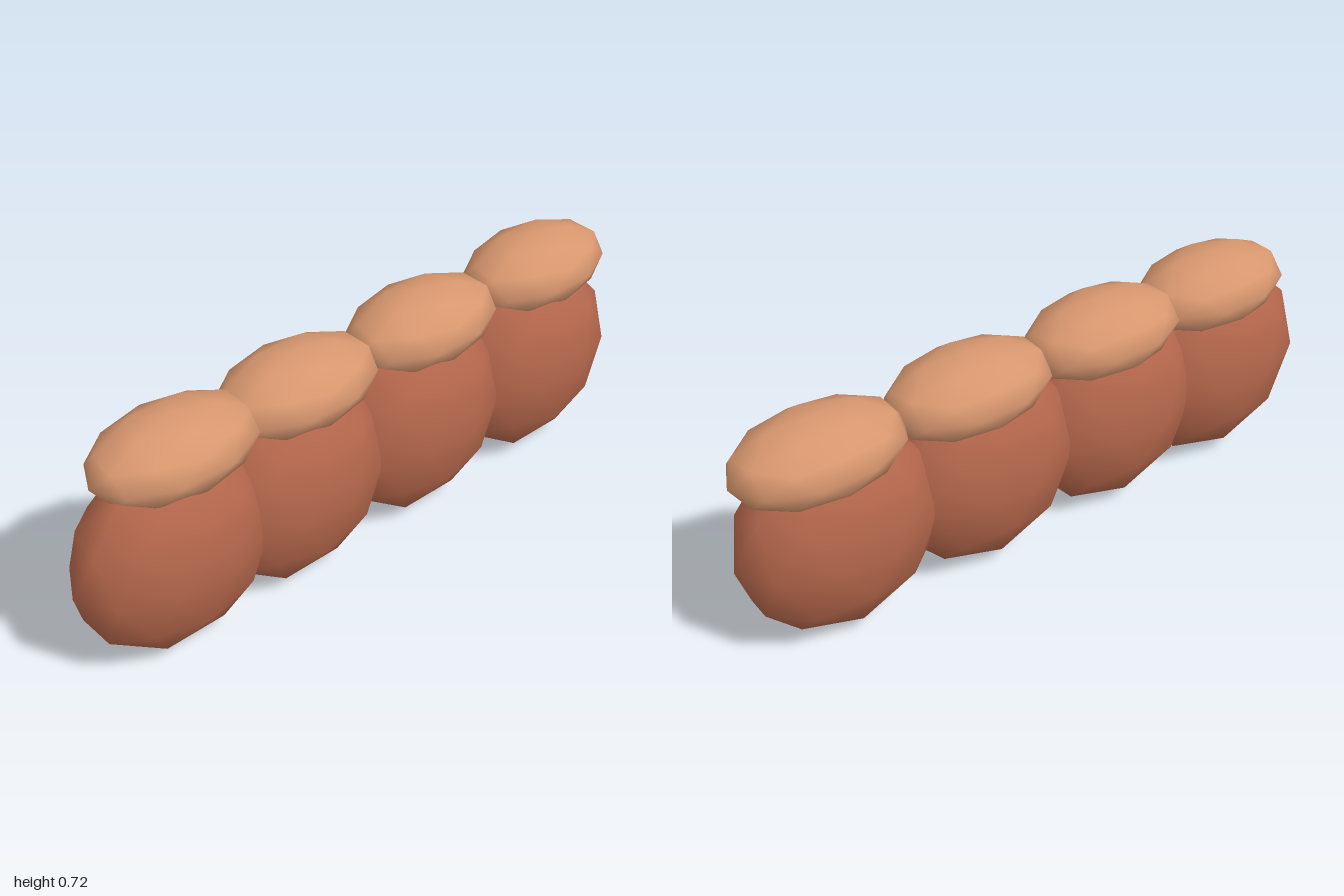
import * as THREE from 'three';

// Low-poly smooth ball with one vertex pointing straight up, scaled to an ellipsoid
function ellipsoid(rx, ry, rz) {
  const g = new THREE.IcosahedronGeometry(1, 1);
  g.rotateZ(-Math.atan(2 / (1 + Math.sqrt(5))));
  g.scale(rx, ry, rz);
  return g;
}

export function createModel() {
  const model = new THREE.Group();
  model.name = 'knuckleRow';

  const skin = new THREE.MeshStandardMaterial({ color: 0xb5674c });
  skin.name = 'reddish brown';
  const pale = new THREE.MeshStandardMaterial({ color: 0xd8976f });
  pale.name = 'light tan';

  const fingerGeometry = ellipsoid(0.184, 0.316, 0.316);
  const capGeometry = ellipsoid(0.167, 0.115, 0.262);

  // Four overlapping segments in a row, each with a flattened cap on top
  [0.684, 0.264, -0.207, -0.684].forEach((z, i) => {
    const segment = new THREE.Group();
    segment.name = `segment${i + 1}`;
    segment.position.z = z;

    const finger = new THREE.Mesh(fingerGeometry, skin);
    finger.name = 'finger';
    finger.position.set(0.005, 0.316, 0);

    const cap = new THREE.Mesh(capGeometry, pale);
    cap.name = 'knuckleCap';
    cap.position.set(-0.022, 0.606, -0.05);

    segment.add(finger, cap);
    model.add(segment);
  });

  return model;
}
